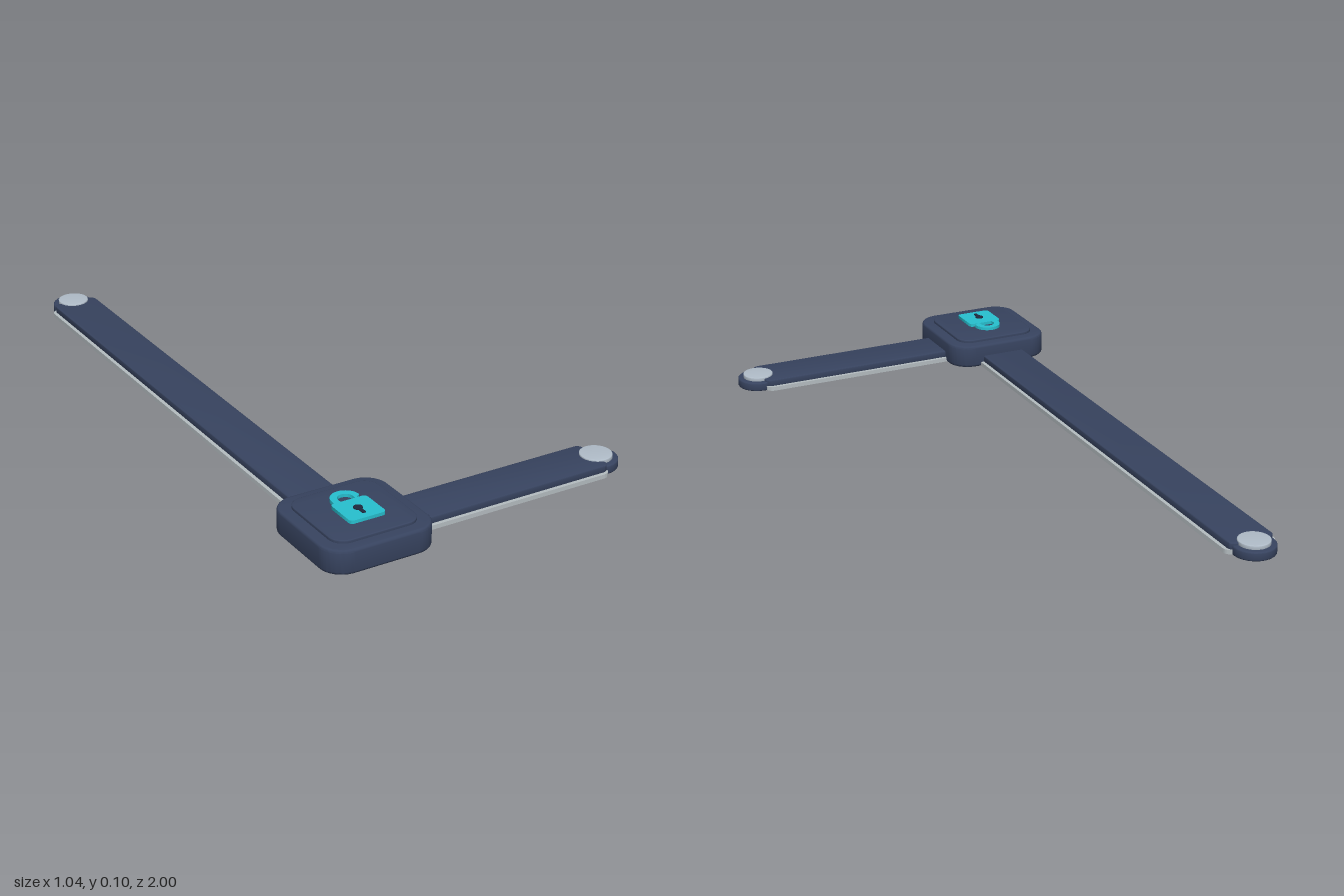
import * as THREE from 'three';
import { toCreasedNormals } from 'three/addons/utils/BufferGeometryUtils.js';

const mat = (name, color) => {
  const m = new THREE.MeshStandardMaterial({ color });
  m.name = name;
  return m;
};

// Rounded rectangle in plan; shape y runs towards the back (-z)
function roundedRect(w, d, r) {
  const s = new THREE.Shape(), x = w / 2, y = d / 2;
  s.moveTo(-x + r, -y);
  s.lineTo(x - r, -y);
  s.absarc(x - r, -y + r, r, -Math.PI / 2, 0);
  s.lineTo(x, y - r);
  s.absarc(x - r, y - r, r, 0, Math.PI / 2);
  s.lineTo(-x + r, y);
  s.absarc(-x + r, y - r, r, Math.PI / 2, Math.PI);
  s.lineTo(-x, -y + r);
  s.absarc(-x + r, -y + r, r, Math.PI, Math.PI * 1.5);
  return s;
}

// Extrudes a plan shape upwards from y0 to y1
function raise(shape, y0, y1, bevel = 0) {
  const g = new THREE.ExtrudeGeometry(shape, {
    depth: y1 - y0 - 2 * bevel, curveSegments: 12,
    bevelEnabled: bevel > 0, bevelSize: bevel, bevelOffset: -bevel,
    bevelThickness: bevel, bevelSegments: 3,
  });
  g.rotateX(-Math.PI / 2);
  g.translate(0, y0 + bevel, 0);
  return toCreasedNormals(g, 0.7);
}

export function createModel() {
  const navy = mat('navy', 0x37435f);
  const silver = mat('silver', 0xb0bcc8);
  const paleGrey = mat('pale grey', 0xb4bcc0);
  const teal = mat('teal', 0x27c0cf);
  const dark = mat('dark navy', 0x1e293d);

  const model = new THREE.Group();
  model.name = 'lockingBracket';
  const add = (parent, name, geo, material, x = 0, z = 0) => {
    const m = new THREE.Mesh(geo, material);
    m.name = name;
    m.position.set(x, 0, z);
    parent.add(m);
    return m;
  };

  // Corner housing with a raised lid
  const cx = -0.355, cz = 0.83;
  add(model, 'housing', raise(roundedRect(0.34, 0.34, 0.07), 0, 0.073, 0.008), navy, cx, cz);
  add(model, 'lid', raise(roundedRect(0.268, 0.268, 0.045), 0.06, 0.082, 0.003), navy, cx, cz);

  // Arm built along local +x from the housing centre
  function arm(name, length) {
    const g = new THREE.Group();
    g.name = name;
    const mid = length / 2;
    add(g, 'backingStrip', raise(roundedRect(length, 0.165, 0.025), 0.002, 0.015), paleGrey, mid);
    add(g, 'coverStrip', raise(roundedRect(length, 0.143, 0.02), 0.013, 0.035, 0.003), navy, mid);
    const end = length + 0.005;
    add(g, 'endCap', raise(new THREE.Shape().absarc(0, 0, 0.065, 0, Math.PI * 2), 0, 0.028, 0.004), navy, end);
    add(g, 'endButton', raise(new THREE.Shape().absarc(0, 0, 0.048, 0, Math.PI * 2), 0.026, 0.04, 0.002), silver, end);
    model.add(g);
    return g;
  }
  arm('shortArm', 0.805).position.set(cx, 0, 0.827);
  const longArm = arm('longArm', 1.76);
  longArm.position.set(cx, 0, cz);
  longArm.rotation.y = Math.PI / 2;

  // Padlock emblem
  const emblem = new THREE.Group();
  emblem.name = 'padlockEmblem';
  emblem.position.set(cx, 0, 0.852);
  model.add(emblem);
  add(emblem, 'padlockBody', raise(roundedRect(0.112, 0.106, 0.012), 0.088, 0.098), teal);

  // Shackle: half ring with two straight legs
  const shackle = new THREE.Shape();
  shackle.moveTo(0.043, 0.05);
  shackle.absarc(0, 0.065, 0.043, 0, Math.PI);
  shackle.lineTo(-0.043, 0.05);
  shackle.lineTo(-0.023, 0.05);
  shackle.absarc(0, 0.065, 0.023, Math.PI, 0, true);
  shackle.lineTo(0.023, 0.05);
  add(emblem, 'shackle', raise(shackle, 0.088, 0.098), teal);

  // Keyhole plates
  const hole = new THREE.Shape().absarc(0, 0.002, 0.013, 0, Math.PI * 2);
  add(emblem, 'keyholeRound', raise(hole, 0.097, 0.101), dark);
  add(emblem, 'keyholeSlot', raise(roundedRect(0.011, 0.03, 0.002), 0.097, 0.1005), dark, 0, 0.016);

  return model;
}
